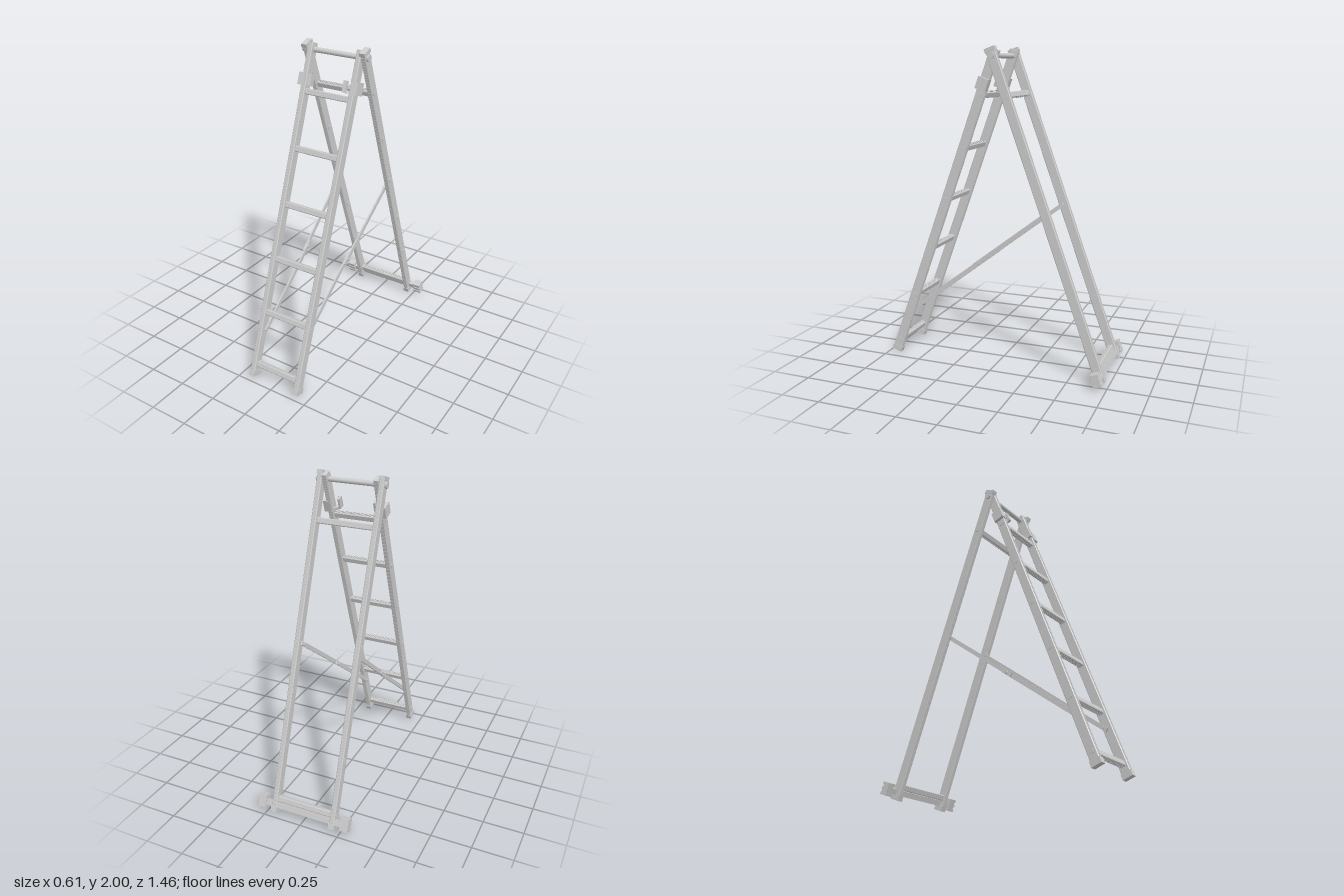
import * as THREE from 'three';

const TILT = 0.3465;      // lean of each ladder frame
const PIVOT_Y = 1.95;     // height of the hinge axis
const RUNGS = [0, 1, 2, 3, 4, 5].map(i => 0.255 + i * 0.3445); // distances below the hinge

const metal = new THREE.MeshStandardMaterial({ color: 0xcccccc });

function add(parent, name, geometry, x = 0, y = 0, z = 0) {
  const mesh = new THREE.Mesh(geometry, metal);
  mesh.name = name;
  mesh.position.set(x, y, z);
  parent.add(mesh);
  return mesh;
}

const box = (w, h, d) => new THREE.BoxGeometry(w, h, d);

// Bar section with chamfered corners and grip grooves on its two y faces
function groovedBar(w, h, length, grooves) {
  const c = 0.004, depth = 0.002, step = (w - 2 * c) / (grooves * 2 + 1);
  const edge = [];
  for (let i = 0; i <= grooves * 2; i++) {
    const y = h / 2 - (i % 2 ? depth : 0);
    edge.push([-w / 2 + c + i * step, y], [-w / 2 + c + (i + 1) * step, y]);
  }
  const top = [[-w / 2, h / 2 - c], ...edge, [w / 2, h / 2 - c]];
  const points = [...top, ...top.map(([x, y]) => [-x, -y])].map(p => new THREE.Vector2(...p));
  return new THREE.ExtrudeGeometry(new THREE.Shape(points.reverse()), {
    depth: length, bevelEnabled: false,
  });
}

const rail = length => groovedBar(0.032, 0.06, length, 3).rotateX(Math.PI / 2);
const rung = length => groovedBar(0.034, 0.036, length, 3)
  .translate(0, 0, -length / 2).rotateY(Math.PI / 2);

// Two rails with end caps; local -y runs down the frame
function ladderFrame(name, railX, rungList) {
  const frame = new THREE.Group();
  frame.name = name;
  frame.position.y = PIVOT_Y;
  for (const s of [-1, 1]) {
    add(frame, 'rail', rail(2.065), s * railX, 0.03, 0);
    add(frame, 'foot', box(0.038, 0.035, 0.066), s * railX, -2.043, 0);
    // Rung ends showing through the rails
    for (const d of RUNGS) add(frame, 'rungEnd', box(0.038, 0.026, 0.028), s * railX, -d, 0);
  }
  for (const d of rungList) add(frame, 'rung', rung(railX * 2), 0, -d, 0);
  return frame;
}

// Flat strip between two points, standing on edge
function strip(parent, name, a, b, width, thickness) {
  const mesh = add(parent, name, box(thickness, width, a.distanceTo(b)));
  mesh.position.copy(a).add(b).multiplyScalar(0.5);
  mesh.lookAt(b);
  return mesh;
}

export function createModel() {
  const model = new THREE.Group();
  model.name = 'stepladder';

  // Climbing frame
  const front = ladderFrame('frontFrame', 0.165, RUNGS);
  front.rotation.x = -TILT;
  model.add(front);
  for (const s of [-1, 1]) {
    // Locking brackets with inward hooks
    add(front, 'bracket', box(0.044, 0.075, 0.07), s * 0.18, -0.186, 0.002);
    const link = add(front, 'hookLink', box(0.045, 0.018, 0.012), s * 0.137, -0.215, 0);
    link.rotation.y = s * 0.7;
    add(front, 'hookPlate', box(0.012, 0.07, 0.034), s * 0.117, -0.186, 0.022);
    add(front, 'hookLip', box(0.024, 0.07, 0.008), s * 0.121, -0.186, 0.038);
  }

  // Support frame
  const rear = ladderFrame('rearFrame', 0.197, [RUNGS[0], RUNGS[5]]);
  rear.rotation.x = TILT;
  model.add(rear);
  for (const s of [-1, 1]) {
    add(rear, 'topCap', box(0.038, 0.024, 0.068), s * 0.197, 0.027, 0);
    // Ribbed stabilizer pads
    add(rear, 'padCore', box(0.046, 0.07, 0.042), s * 0.28, -2.01, -0.01);
    for (let i = -1; i <= 1; i++) {
      add(rear, 'padRib', box(0.052, 0.018, 0.052), s * 0.28, -2.01 + i * 0.03, -0.01);
    }
  }
  add(rear, 'stabilizerBar', box(0.52, 0.034, 0.028), 0, -2.015, -0.012);

  // Hinge rod and bolt heads
  const rod = r => l => new THREE.CylinderGeometry(r, r, l, 20).rotateZ(Math.PI / 2);
  add(model, 'hingeRod', rod(0.016)(0.44), 0, PIVOT_Y - 0.008, 0);
  for (const s of [-1, 1]) {
    add(model, 'hingeBolt', rod(0.021)(0.014), s * 0.218, PIVOT_Y - 0.008, 0);
    add(model, 'hingeSpacer', rod(0.026)(0.036), s * 0.165, PIVOT_Y - 0.005, 0);
  }

  // Folding spreader braces
  for (const s of [-1, 1]) {
    const brace = new THREE.Group();
    brace.name = 'spreader';
    const v = (x, y, z) => new THREE.Vector3(s * x, y, z);
    strip(brace, 'rearArm', v(0.176, 1.015, -0.34), v(0.155, 0.643, 0.145), 0.026, 0.01);
    strip(brace, 'frontArm', v(0.15, 0.69, 0.08), v(0.141, 0.295, 0.595), 0.026, 0.01);
    add(brace, 'foldBolt', rod(0.011)(0.03), s * 0.153, 0.667, 0.11);
    add(brace, 'frontBolt', rod(0.009)(0.03), s * 0.147, 0.315, 0.57);
    add(brace, 'rearBolt', rod(0.009)(0.03), s * 0.178, 1.0, -0.32);
    model.add(brace);
  }
  return model;
}
